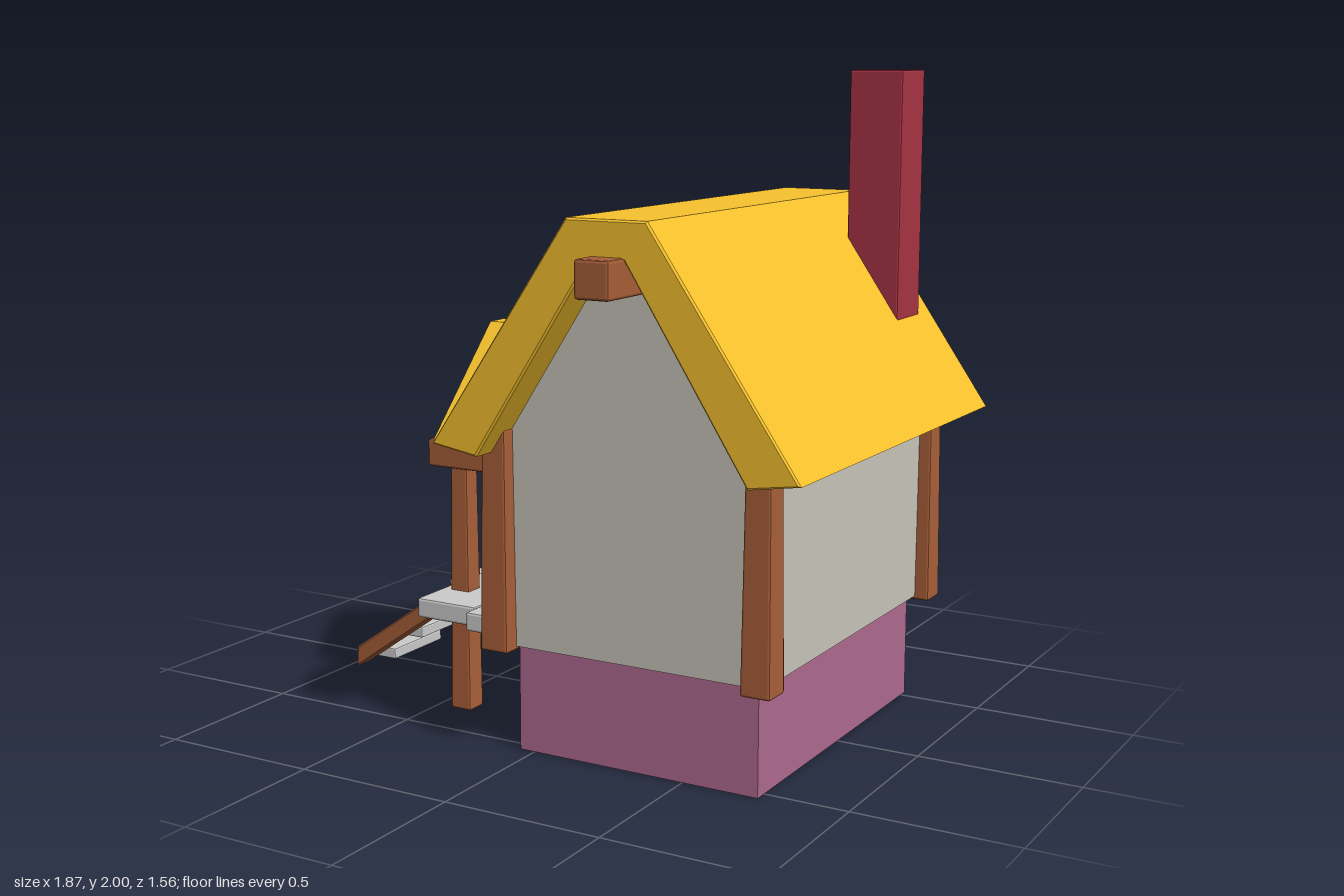
import * as THREE from 'three';
import { RoundedBoxGeometry } from 'three/addons/geometries/RoundedBoxGeometry.js';

const material = (color) =>
  new THREE.MeshStandardMaterial({ color, flatShading: true, side: THREE.DoubleSide });

export function createModel() {
  const house = new THREE.Group();
  house.name = 'cottage';

  const straw = material(0xf7c22e);
  const wood = material(0xa85f38);
  const brick = material(0xa83444);
  const plaster = material(0xc9c6ba);
  const plinth = material(0xb06a90);
  const grey = material(0xcccccc);

  const add = (name, geometry, mat) => {
    const mesh = new THREE.Mesh(geometry, mat);
    mesh.name = name;
    house.add(mesh);
    return mesh;
  };

  // Box given by its limits; bevel softens the edges, taper narrows the top
  const block = (name, mat, [x0, x1], [y0, y1], [z0, z1], bevel = 0.008, taper = 1) => {
    const w = x1 - x0, h = y1 - y0, d = z1 - z0;
    const g = bevel ? new RoundedBoxGeometry(w, h, d, 1, bevel) : new THREE.BoxGeometry(w, h, d);
    const p = g.attributes.position;
    for (let i = 0; i < p.count; i++) {
      const s = THREE.MathUtils.lerp(1, taper, p.getY(i) / h + 0.5);
      p.setX(i, p.getX(i) * s);
      p.setZ(i, p.getZ(i) * s);
    }
    g.translate((x0 + x1) / 2, (y0 + y1) / 2, (z0 + z1) / 2);
    return add(name, g, mat);
  };

  // Outline in x and y, drawn out from z0 to z1
  const prism = (points, z0, z1, bevel = 0) => {
    const shape = new THREE.Shape(points.map(([x, y]) => new THREE.Vector2(x, y)));
    return new THREE.ExtrudeGeometry(shape, {
      depth: z1 - z0 - 2 * bevel,
      bevelEnabled: bevel > 0,
      bevelThickness: bevel,
      bevelSize: bevel,
      bevelOffset: -bevel,
      bevelSegments: 1,
    }).translate(0, 0, z0 + bevel);
  };

  // Body
  block('foundation', plinth, [-0.05, 0.74], [0, 0.34], [-0.53, 0.54], 0);
  add('walls', prism([
    [-0.085, 0.33], [0.77, 0.33], [0.77, 0.94], [0.41, 1.51], [0.28, 1.51], [-0.085, 0.94],
  ], -0.565, 0.575), plaster);

  // Main roof, ridge beam and chimney
  add('roof', prism([
    [-0.243, 0.94], [-0.09, 0.915], [0.29, 1.5], [0.4, 1.5],
    [0.775, 0.915], [0.932, 0.94], [0.47, 1.612], [0.215, 1.612],
  ], -0.69, 0.7, 0.006), straw);
  block('ridgeBeam', wood, [0.29, 0.4], [1.4, 1.51], [-0.78, 0.78]);
  block('chimney', brick, [0.555, 0.73], [1.2, 2], [-0.597, -0.42], 0.006);

  // Corner posts
  for (const x of [-0.085, 0.769]) {
    for (const z of [-0.57, 0.58]) {
      block('cornerPost', wood, [x - 0.047, x + 0.047], [0.318, 0.985], [z - 0.047, z + 0.047], 0.008, 0.84);
    }
  }

  // Porch deck
  block('outerDeckBoard', grey, [-0.478, -0.265], [0.325, 0.388], [-0.47, 0.465]);
  block('innerDeckBoard', grey, [-0.265, -0.045], [0.325, 0.385], [-0.52, 0.512]);

  // Porch posts and beams
  for (const z of [-0.305, 0.3]) {
    block('porchPost', wood, [-0.448, -0.373], [0, 0.8], [z - 0.037, z + 0.037], 0.008, 0.8);
    block('porchBeam', wood, [-0.515, -0.06], [0.78, 0.866], [z - 0.046, z + 0.046]);
  }

  // Porch roof and its ridge pole
  add('porchRoof', prism([
    [-0.353, 0.872], [-0.262, 0.858], [-0.025, 1.115], [0.035, 1.115],
    [0.272, 0.858], [0.365, 0.872], [0.045, 1.203], [-0.035, 1.203],
  ], 0.068, 0.477).rotateY(-Math.PI / 2), straw);
  add('porchRidgePole', new THREE.CylinderGeometry(0.045, 0.045, 0.42, 8)
    .rotateZ(Math.PI / 2).translate(-0.317, 1.096, 0.004), wood);

  // Door with frame and knob
  block('door', grey, [-0.1, -0.08], [0.38, 0.78], [-0.11, 0.11], 0);
  for (const z of [-0.13, 0.13]) {
    block('doorJamb', wood, [-0.115, -0.07], [0.38, 0.8], [z - 0.025, z + 0.025], 0.006);
  }
  block('doorLintel', wood, [-0.118, -0.07], [0.77, 0.82], [-0.165, 0.165], 0.006);
  add('doorKnob', new THREE.SphereGeometry(0.018, 10, 8).translate(-0.115, 0.54, -0.08), grey);

  // Ladder stair
  const rail = [[-0.935, 0.018], [-0.475, 0.338], [-0.475, 0.406], [-0.935, 0.085]];
  for (const z of [-0.197, 0.12]) {
    add('stairRail', prism(rail, z, z + 0.072, 0.006), wood);
  }
  for (let i = 0; i < 4; i++) {
    const x = -0.934 + i * 0.1135, y = 0.043 + i * 0.091;
    block('stairTread', grey, [x, x + 0.1125], [y, y + 0.036], [-0.135, 0.13], 0.005);
  }

  return house;
}
